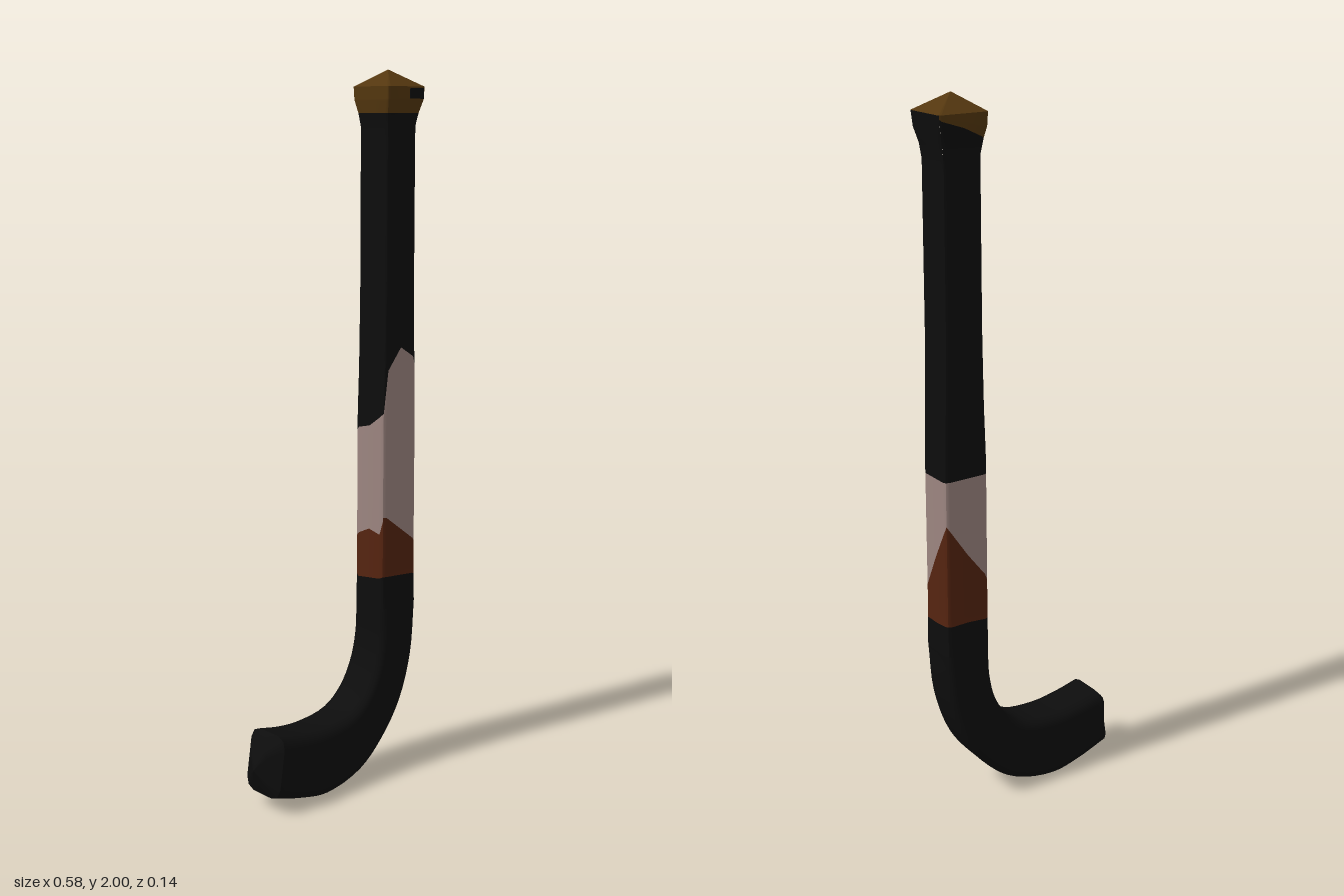
import * as THREE from 'three';

const mat = (name, color) => {
  const m = new THREE.MeshStandardMaterial({ color });
  m.name = name;
  return m;
};
const lerp = THREE.MathUtils.lerp;

// Five cross-section points on each of the four sides of a chamfered bar,
// running front, outer, back, inner. u goes from inner (-1) to outer (+1).
function sidePoint(side, col, inner, outer, hz, bevel) {
  const hu = Math.hypot(outer[0] - inner[0], outer[1] - inner[1]) / 2;
  const along = side % 2 ? hz : hu, out = side % 2 ? hu : hz;
  const k = 0.3 * bevel;
  const a = [k - along, bevel - along, 0, along - bevel, along - k][col];
  const o = col === 0 || col === 4 ? out - k : out;
  const u = [a, o, -a, -o][side] / hu, z = [o, -a, -o, a][side];
  const t = (u + 1) / 2;
  return [lerp(inner[0], outer[0], t), lerp(inner[1], outer[1], t), z];
}

// Surface through rows of points; rows climb, columns run left to right
function surface(rows, closed) {
  const n = rows[0].length, idx = [];
  for (let i = 0; i < rows.length - 1; i++) {
    for (let j = 0; j < (closed ? n : n - 1); j++) {
      const a = i * n + j, b = i * n + (j + 1) % n;
      idx.push(a, b, b + n, a, b + n, a + n);
    }
  }
  const g = new THREE.BufferGeometry();
  g.setAttribute('position', new THREE.Float32BufferAttribute(rows.flat(2), 3));
  g.setIndex(idx);
  g.computeVertexNormals();
  return g;
}

// Shaft: height, inner x, outer x, half depth, chamfer
const PROFILE = [
  [0.5, 0.15, 0.288, 0.06, 0.018],
  [0.6, 0.15, 0.286, 0.056, 0.014],
  [1.05, 0.15, 0.284, 0.055, 0.013],
  [1.2, 0.155, 0.28, 0.055, 0.013],
  [1.4, 0.158, 0.275, 0.055, 0.013],
  [1.85, 0.158, 0.272, 0.055, 0.013],
  [1.88, 0.154, 0.278, 0.058, 0.012],
  [1.92, 0.147, 0.288, 0.067, 0.009],
  [1.955, 0.146, 0.29, 0.068, 0.007],
];
function shaftPoint(side, col, y) {
  let i = 0;
  while (i < PROFILE.length - 2 && y > PROFILE[i + 1][0]) i++;
  const p = PROFILE[i], q = PROFILE[i + 1];
  const t = (y - p[0]) / (q[0] - p[0]);
  const [, xi, xo, hz, b] = p.map((v, k) => lerp(v, q[k], t));
  return sidePoint(side, col, [xi, y], [xo, y], hz, b);
}

// Colour boundaries on each side, bottom to top, one height per column
const BOTTOM = 0.5, TOP = 1.955;
const flat = (y) => [y, y, y, y, y];
const BOUNDS = [
  [[0.595, 0.595, 0.59, 0.585, 0.58], [0.77, 0.77, 0.73, 0.69, 0.68], [1.07, 1.19, 1.25, 1.22, 1.2], flat(1.885)],
  [[0.58, 0.585, 0.585, 0.59, 0.59], [0.68, 0.69, 0.78, 0.86, 0.885], flat(1.01), flat(TOP)],
  [[0.59, 0.59, 0.59, 0.585, 0.585], [0.885, 0.87, 0.79, 0.72, 0.7], flat(1.01), [1.945, 1.94, 1.92, 1.895, 1.89]],
  [[0.585, 0.58, 0.585, 0.59, 0.595], [0.7, 0.71, 0.73, 0.72, 0.76], [1.01, 1.02, 1.03, 1.06, 1.07], flat(1.885)],
];

export function createModel() {
  const group = new THREE.Group();
  const black = mat('black', 0x0d0d0d);
  const white = mat('dusty white', 0x9c8580);
  const brown = mat('red brown', 0x552410);
  const gold = mat('dark gold', 0x54370f);
  const add = (name, geometry, material) => {
    const m = new THREE.Mesh(geometry, material);
    m.name = name;
    group.add(m);
    return m;
  };

  // Shaft sides, each split into bands of colour
  const bands = [['lowerGrip', black], ['brownBand', brown], ['whiteBand', white], ['upperGrip', black], ['collar', gold]];
  BOUNDS.forEach((bounds, side) => {
    const edges = [flat(BOTTOM), ...bounds, flat(TOP)];
    bands.forEach(([name, material], k) => {
      if (edges[k][0] >= TOP) return;
      const rows = [];
      for (let i = 0; i <= 24; i++) {
        rows.push(edges[k].map((y, col) => shaftPoint(side, col, lerp(y, edges[k + 1][col], i / 24))));
      }
      add(name, surface(rows, false), material);
    });
  });

  // Curved hook, lofted between its inner and outer curves
  const curve = (pts) => new THREE.CatmullRomCurve3(pts.map(([x, y]) => new THREE.Vector3(x, y, 0)));
  const innerCurve = curve([[-0.235, 0.225], [-0.17, 0.21], [-0.08, 0.2], [0.03, 0.215], [0.09, 0.26], [0.13, 0.33], [0.148, 0.41], [0.15, 0.5]]);
  const outerCurve = curve([[-0.262, 0.05], [-0.16, 0.018], [-0.07, 0.004], [0.06, 0.035], [0.15, 0.105], [0.225, 0.205], [0.272, 0.34], [0.288, 0.5]]);
  const ring = (inner, outer, hz, bevel) => {
    const pts = [];
    for (let side = 0; side < 4; side++) {
      for (let col = 0; col < 4; col++) pts.push(sidePoint(side, col, inner, outer, hz, bevel));
    }
    return pts;
  };
  const hook = [];
  for (let i = 0; i <= 28; i++) {
    const t = i / 28, a = innerCurve.getPoint(t), b = outerCurve.getPoint(t);
    hook.push(ring([a.x, a.y], [b.x, b.y], lerp(0.069, 0.06, t * t), lerp(0.032, 0.018, t)));
  }
  add('hook', surface(hook, true), black);

  // Blunt pointed toe closing the hook
  const toe = [
    hook[0].map(() => [-0.294, 0.13, 0]),
    ring([-0.274, 0.185], [-0.278, 0.085], 0.035, 0.015),
    hook[0],
  ];
  add('toe', surface(toe, true), black);

  // Low pyramid on top
  const base = [];
  for (let side = 0; side < 4; side++) {
    for (let col = 0; col < 4; col++) base.push(shaftPoint(side, col, TOP));
  }
  const cap = surface([base, base.map(() => [0.213, 2, 0])], true).toNonIndexed();
  cap.computeVertexNormals();
  add('cap', cap, gold);

  // Dark mark on the front of the collar
  add('collarMark', new THREE.BoxGeometry(0.052, 0.028, 0.005), black).position.set(0.255, 1.937, 0.067);

  return group;
}
